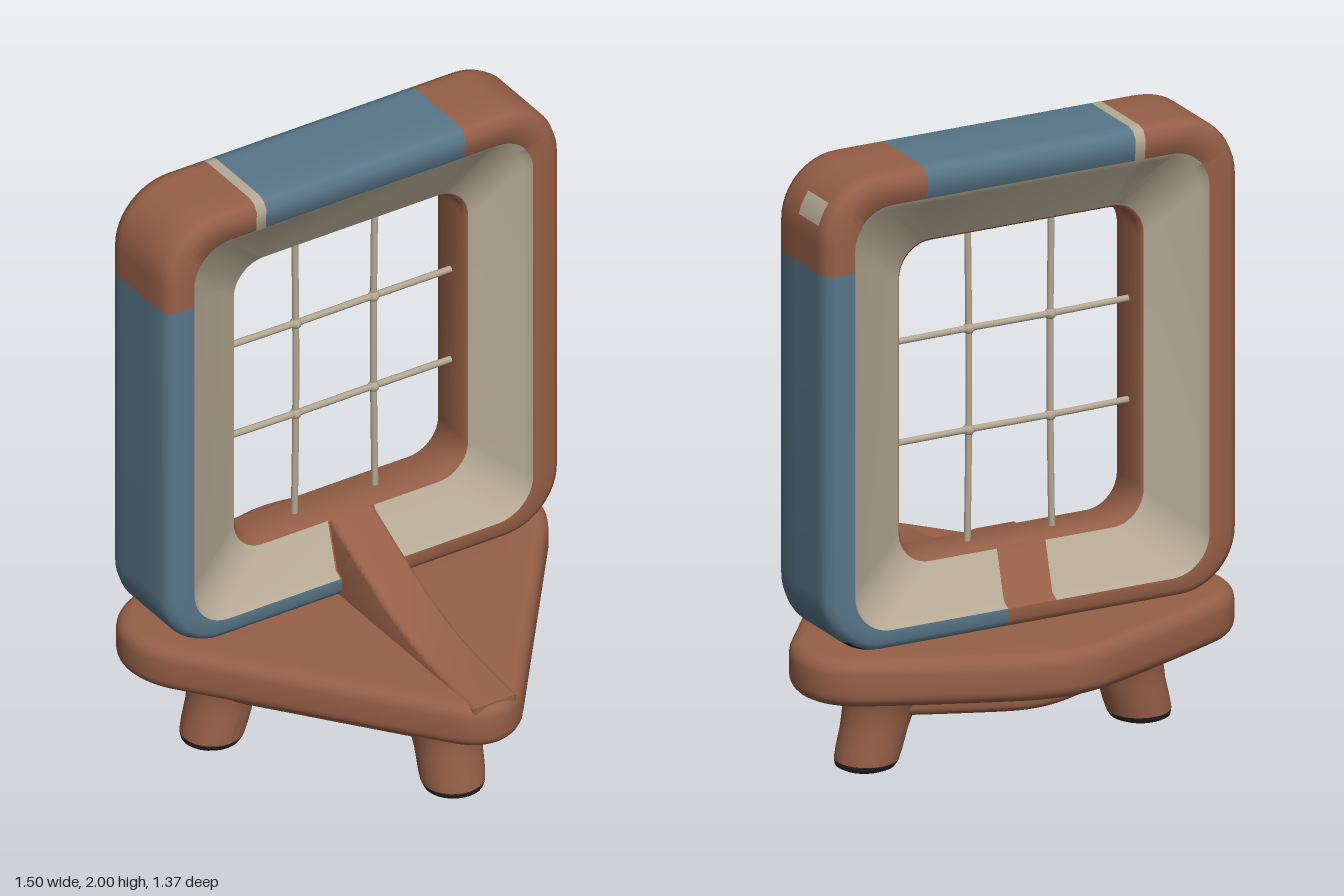
import * as THREE from 'three';
import { toCreasedNormals } from 'three/addons/utils/BufferGeometryUtils.js';

const material = (name, color) => {
  const m = new THREE.MeshStandardMaterial({ color });
  m.name = name;
  return m;
};

export function createModel() {
  const model = new THREE.Group();
  const brown = material('clay brown', 0x965f47);
  const blue = material('slate blue', 0x587688);
  const cream = material('cream', 0xb5a994);
  const dark = material('dark rubber', 0x2e2927);

  const add = (name, geometry, mat) => {
    const mesh = new THREE.Mesh(geometry, mat);
    mesh.name = name;
    model.add(mesh);
  };

  // Rounded kite outline of the base; shape y points to the back
  const outline = (s) => {
    const p = new THREE.Shape();
    p.moveTo(0.14 * s, -0.6 * s);
    p.lineTo(0.68 * s, 0.1 * s);
    p.bezierCurveTo(0.78 * s, 0.22 * s, 0.78 * s, 0.38 * s, 0.64 * s, 0.46 * s);
    p.quadraticCurveTo(0.45 * s, 0.55 * s, 0.17 * s, 0.655 * s);
    p.quadraticCurveTo(0, 0.72 * s, -0.17 * s, 0.655 * s);
    p.quadraticCurveTo(-0.45 * s, 0.55 * s, -0.64 * s, 0.46 * s);
    p.bezierCurveTo(-0.78 * s, 0.38 * s, -0.78 * s, 0.22 * s, -0.68 * s, 0.1 * s);
    p.lineTo(-0.14 * s, -0.6 * s);
    p.bezierCurveTo(-0.06 * s, -0.71 * s, 0.06 * s, -0.71 * s, 0.14 * s, -0.6 * s);
    return p;
  };
  const slab = (s, y0, y1, bevel) => {
    const g = new THREE.ExtrudeGeometry(outline(s), {
      depth: y1 - y0 - 2 * bevel, bevelThickness: bevel, bevelSize: bevel,
      bevelOffset: -bevel, bevelSegments: 5, curveSegments: 14,
    });
    g.rotateX(-Math.PI / 2).translate(0, y0 + bevel, 0);
    return toCreasedNormals(g, 0.7);
  };
  add('basePlate', slab(1, 0.285, 0.44, 0.045), brown);
  add('underBody', slab(0.66, 0.175, 0.32, 0.03), brown);

  // Splayed legs with dark feet
  const leg = (x, z, leanX, leanZ) => {
    const lathe = (name, pts, mat) => {
      const g = new THREE.LatheGeometry(pts.map(([r, y]) => new THREE.Vector2(r, y)), 28);
      const p = g.attributes.position;
      for (let i = 0; i < p.count; i++) {
        const t = p.getY(i) / 0.3;
        p.setX(i, p.getX(i) + x + leanX * t);
        p.setZ(i, p.getZ(i) + z + leanZ * t);
      }
      g.computeVertexNormals();
      add(name, g, mat);
    };
    lathe('foot', [[0, 0], [0.075, 0.001], [0.094, 0.01], [0.101, 0.028]], dark);
    lathe('leg', [[0.101, 0.028], [0.104, 0.06], [0.106, 0.13], [0.113, 0.19], [0.13, 0.24], [0.16, 0.3]], brown);
  };
  leg(0, 0.42, 0, -0.07);
  for (const s of [-1, 1]) leg(s * 0.485, -0.215, -s * 0.08, 0);

  // Sloping fin running from the front tip up to the frame
  const fin = new THREE.Shape();
  fin.moveTo(-0.16, 0.4);
  fin.lineTo(0.66, 0.4);
  fin.lineTo(0.66, 0.44);
  fin.splineThru([[0.4, 0.468], [0.2, 0.52], [0, 0.61], [-0.09, 0.655], [-0.16, 0.69]]
    .map(([z, y]) => new THREE.Vector2(z, y)));
  const finGeo = new THREE.ExtrudeGeometry(fin, {
    depth: 0.13, bevelThickness: 0.015, bevelSize: 0.015, bevelOffset: -0.015, bevelSegments: 3, curveSegments: 24,
  });
  finGeo.translate(0, 0, -0.065).rotateY(-Math.PI / 2);
  add('frontFin', toCreasedNormals(finGeo, 0.7), brown);

  // Frame: one rounded-rectangle ring per row, [half width, bottom, top, radius, depth, zone of next strip]
  const N = 12;
  const front = [
    [0.725, 0.44, 2.0, 0.2, 0.03, 'wall'],
    [0.725, 0.44, 2.0, 0.2, 0.12, 'wall'],
    [0.716, 0.449, 1.991, 0.192, 0.147, 'rim'],
    [0.692, 0.47, 1.968, 0.172, 0.162, 'rim'],
    [0.622, 0.508, 1.9, 0.13, 0.158, 'bevel'],
    [0.605, 0.525, 1.875, 0.12, 0.13, 'bevel'],
    [0.43, 0.682, 1.738, 0.11, 0.085, 'inner'],
    [0.42, 0.692, 1.728, 0.11, 0.07, 'inner'],
  ];
  const back = front.slice(1).reverse().map((r, i, all) => {
    const next = i + 1 < all.length ? all[i + 1][5] : 'wall';
    return [...r.slice(0, 4), -r[4], next === 'rim' ? 'backRim' : next];
  });
  const rows = [...front, ...back, [0.725, 0.44, 2.0, 0.2, -0.1, 'patch']];

  // Ring points run counter-clockwise from the lower left; each carries the tag of the next segment
  const ring = ([hx, y0, y1, r, d]) => {
    const pts = [];
    const ex = hx - r, lo = y0 + r, hi = y1 - r;
    const put = (x, y, tag, step = 0) => pts.push({ v: new THREE.Vector3(x, y, d - 0.25), tag, step });
    const cx = (x) => THREE.MathUtils.clamp(x, -ex, ex);
    const cy = Math.min(1.7, hi);
    const arc = (x, y, start, tag) => {
      for (let i = 0; i < N; i++) {
        const a = start + (i / N) * Math.PI / 2;
        put(x + r * Math.cos(a), y + r * Math.sin(a), tag, i);
      }
    };
    put(-ex, y0, 'bottomRight');
    put(cx(-0.085), y0, 'bottomMiddle');
    put(cx(0.085), y0, 'bottomLeft');
    arc(ex, lo, -Math.PI / 2, 'lowCornerLeft');
    put(hx, lo, 'sideLeft');
    put(hx, cy, 'upperSide');
    arc(ex, hi, 0, 'topCornerLeft');
    put(ex, y1, 'topEnd');
    put(cx(0.37), y1, 'topMiddle');
    put(cx(-0.36), y1, 'topStrip');
    put(cx(-0.395), y1, 'topEnd');
    arc(-ex, hi, Math.PI / 2, 'topCornerRight');
    put(-hx, hi, 'upperSide');
    put(-hx, cy, 'sideRight');
    arc(-ex, lo, Math.PI, 'lowCornerRight');
    return pts;
  };

  const blueFront = ['sideRight', 'lowCornerRight', 'bottomRight'];
  const blueBack = ['sideLeft', 'lowCornerLeft', 'bottomLeft'];
  const colourOf = (zone, { tag, step }) => {
    if (zone === 'inner') return brown;
    if (zone === 'bevel') return tag === 'bottomMiddle' ? brown : cream;
    if (tag === 'topMiddle') return blue;
    if (tag === 'topStrip') return cream;
    if (zone === 'rim') return blueFront.includes(tag) ? blue : brown;
    if (zone === 'backRim') return blueBack.includes(tag) ? blue : brown;
    if (zone === 'patch' && tag === 'topCornerLeft' && step > 1 && step < 5) return cream;
    if (tag === 'lowCornerLeft') return step < 5 ? dark : blue;
    if (tag === 'lowCornerRight') return step >= N - 5 ? dark : blue;
    return tag.startsWith('side') ? blue : brown;
  };

  const palette = [brown, blue, cream, dark];
  const buckets = palette.map(() => []);
  const rings = rows.map(ring);
  rings.forEach((a, i) => {
    const b = rings[(i + 1) % rings.length];
    a.forEach((p, j) => {
      const k = (j + 1) % a.length;
      const out = buckets[palette.indexOf(colourOf(rows[i][5], p))];
      for (const tri of [[p.v, a[k].v, b[k].v], [p.v, b[k].v, b[j].v]]) {
        if (new THREE.Triangle(...tri).getArea() > 1e-8) tri.forEach((v) => out.push(v.x, v.y, v.z));
      }
    });
  });
  let frameGeo = new THREE.BufferGeometry();
  frameGeo.setAttribute('position', new THREE.Float32BufferAttribute(buckets.flat(), 3));
  frameGeo = toCreasedNormals(frameGeo, 0.8);
  let start = 0;
  buckets.forEach((list, i) => {
    frameGeo.addGroup(start, list.length / 3, i);
    start += list.length / 3;
  });
  add('windowFrame', frameGeo, palette);

  // Thin, slightly bent window bars with knots at the crossings
  const bar = (name, pts) => add(name, new THREE.TubeGeometry(
    new THREE.CatmullRomCurve3(pts.map(([x, y]) => new THREE.Vector3(x, y, -0.25))), 24, 0.011, 8), cream);
  const xs = [-0.148, 0.138], ys = [1.055, 1.387];
  for (const x of xs) {
    const s = Math.sign(x);
    bar('verticalBar', [[x + s * 0.005, 0.68], [x, 1.055], [x, 1.387], [x + s * 0.004, 1.74]]);
  }
  for (const y of ys) bar('horizontalBar', [[-0.44, y + 0.004], [-0.15, y], [0.14, y], [0.44, y - 0.002]]);
  for (const x of xs) for (const y of ys) {
    add('barKnot', new THREE.SphereGeometry(0.019, 12, 8).translate(x, y, -0.25), cream);
  }

  return model;
}
